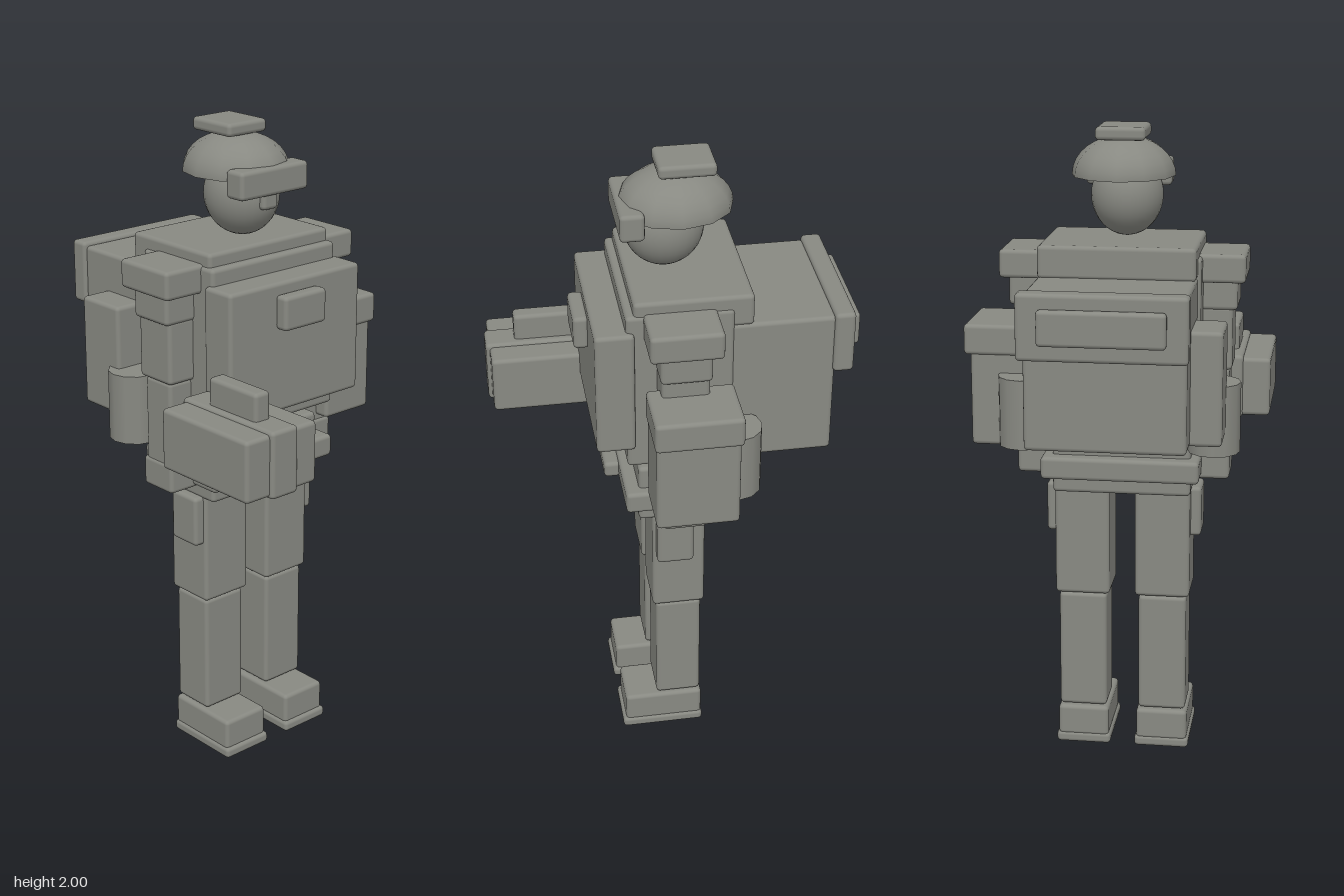
import * as THREE from 'three';
import { RoundedBoxGeometry } from 'three/addons/geometries/RoundedBoxGeometry.js';

export function createModel() {
  const model = new THREE.Group();
  model.name = 'fieldSoldier';
  const grey = new THREE.MeshStandardMaterial({ color: 0x888982, side: THREE.DoubleSide });
  grey.name = 'stoneGrey';

  function add(name, geometry, x, y, z, parent = model) {
    const mesh = new THREE.Mesh(geometry, grey);
    mesh.name = name;
    mesh.position.set(x, y, z);
    parent.add(mesh);
    return mesh;
  }

  // Softly rounded block given by its extents along each axis
  function block(name, [x0, x1], [y0, y1], [z0, z1], parent = model) {
    const w = x1 - x0, h = y1 - y0, d = z1 - z0;
    const radius = Math.min(0.013, Math.min(w, h, d) * 0.35);
    return add(name, new RoundedBoxGeometry(w, h, d, 2, radius),
      (x0 + x1) / 2, (y0 + y1) / 2, (z0 + z1) / 2, parent);
  }

  // Head and helmet; the figure looks along +x
  add('head', new THREE.SphereGeometry(1, 28, 20), 0.015, 1.785, 0.02).scale.set(0.12, 0.125, 0.11);
  add('helmet', new THREE.SphereGeometry(1, 12, 8, 0, Math.PI * 2, 0, Math.PI / 2), -0.017, 1.847, 0.013)
    .scale.set(0.173, 0.118, 0.158);
  block('helmetPad', [-0.13, 0.04], [1.96, 2.0], [-0.06, 0.09]);
  block('goggles', [0.087, 0.16], [1.8, 1.885], [-0.118, 0.147]);
  block('nose', [0.09, 0.147], [1.755, 1.815], [-0.01, 0.05]);

  // Torso and chest gear
  block('collar', [-0.215, 0.138], [1.56, 1.66], [-0.222, 0.252]);
  block('torso', [-0.157, 0.162], [1.1, 1.62], [-0.228, 0.262]);
  block('chestPlate', [0.138, 0.255], [1.17, 1.57], [-0.244, 0.276]);
  block('chestPouch', [0.25, 0.297], [1.43, 1.535], [-0.068, 0.098]);

  // Backpack
  block('backpack', [-0.46, -0.14], [1.1, 1.565], [-0.224, 0.252]);
  block('packFlap', [-0.515, -0.453], [1.38, 1.577], [-0.235, 0.261]);
  block('packPocket', [-0.545, -0.51], [1.43, 1.535], [-0.17, 0.2]);
  block('packSidePouch', [-0.356, -0.182], [1.1, 1.445], [0.24, 0.346]);

  // Pelvis and belt
  block('pelvis', [-0.125, 0.125], [0.87, 1.065], [-0.196, 0.233]);
  block('belt', [-0.167, 0.167], [0.922, 0.993], [-0.228, 0.262]);
  block('buckle', [0.16, 0.212], [0.93, 0.983], [-0.042, 0.08]);

  // Paired parts, mirrored about the body's own centre plane
  const middle = 0.016;
  for (const [prefix, s] of [['right', 1], ['left', -1]]) {
    const side = (a, b) => [middle + s * a, middle + s * b].sort((p, q) => p - q);
    const arm = new THREE.Group();
    arm.name = prefix + 'Arm';
    block('shoulderPad', [-0.105, 0.11], [1.538, 1.625], side(0.22, 0.375), arm);
    block('sleeveTop', [-0.075, 0.077], [1.45, 1.56], side(0.22, 0.35), arm);
    block('upperArm', [-0.07, 0.072], [1.263, 1.46], side(0.22, 0.336), arm);
    block('forearm', [-0.056, 0.06], [0.99, 1.265], side(0.222, 0.327), arm);
    block('glove', [-0.066, 0.066], [0.913, 1.007], side(0.21, 0.332), arm);
    model.add(arm);

    const leg = new THREE.Group();
    leg.name = prefix + 'Leg';
    block('thigh', [-0.082, 0.084], [0.52, 0.88], side(0.04, 0.213), leg);
    block('shin', [-0.072, 0.072], [0.132, 0.517], side(0.051, 0.203), leg);
    block('boot', [-0.077, 0.175], [0.025, 0.127], side(0.045, 0.208), leg);
    block('sole', [-0.08, 0.185], [0, 0.035], side(0.039, 0.214), leg);
    block('thighPouch', [-0.042, 0.073], [0.715, 0.876], side(0.2, 0.245), leg);
    model.add(leg);

    add(prefix + 'Canister', new THREE.CylinderGeometry(0.08, 0.08, 0.217, 12),
      -0.155, 1.142, middle + s * 0.291);
  }

  // Satchel hanging at one side
  block('satchel', [-0.142, 0.107], [1.02, 1.38], [-0.445, -0.258]);
  block('satchelLid', [-0.148, 0.113], [1.305, 1.4], [-0.464, -0.268]);

  // Carried case in front of the other arm
  block('case', [0.16, 0.53], [1.06, 1.247], [0.19, 0.458]);
  block('caseBand', [0.15, 0.542], [1.053, 1.257], [0.272, 0.372]);
  block('caseHandle', [0.245, 0.449], [1.24, 1.34], [0.295, 0.352]);

  return model;
}
